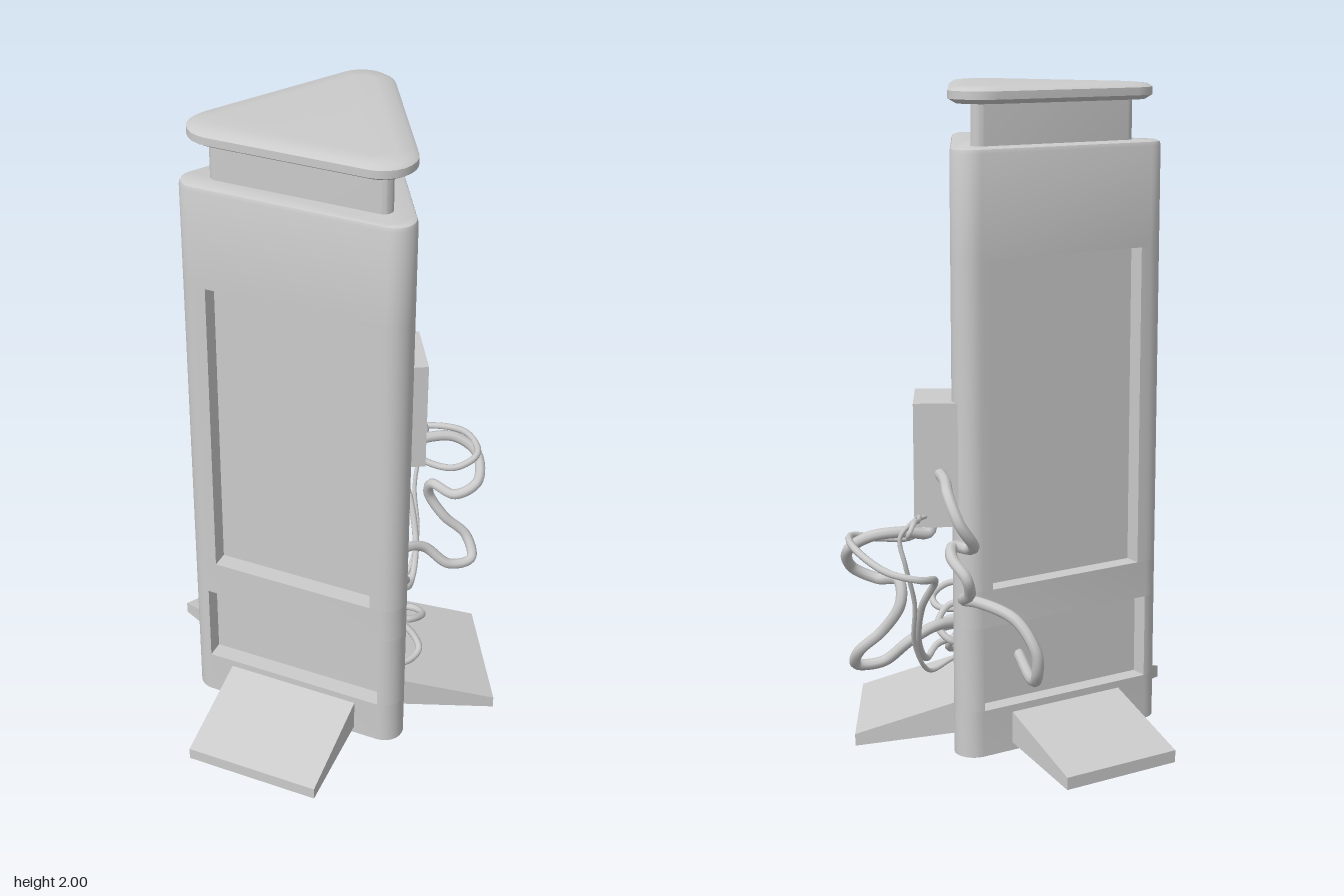
import * as THREE from 'three';
import { toCreasedNormals } from 'three/addons/utils/BufferGeometryUtils.js';

const grey = new THREE.MeshStandardMaterial({ color: 0xcccccc, side: THREE.DoubleSide });
const CX = 0.034, CZ = 0.037;          // axis of the triangular column
const APOTHEM = 0.229, FLOOR = 0.175;  // outer face and recess floor distances
const RADIUS = 0.06;

function part(parent, name, geometry) {
  const mesh = new THREE.Mesh(geometry, grey);
  mesh.name = name;
  parent.add(mesh);
  return mesh;
}

// Rounded triangle outline; an optional notch half-width cuts a recess in every side
function outline(apothem, radius, notch = 0) {
  const pts = [], seg = 8;
  for (let k = 0; k < 3; k++) {
    const mid = k * Math.PI * 2 / 3, d = 2 * (apothem - radius);
    for (let i = 0; i <= seg; i++) {
      const a = mid - Math.PI / 3 + (i / seg) * Math.PI * 2 / 3;
      pts.push(new THREE.Vector2(
        d * Math.cos(mid) + radius * Math.cos(a),
        d * Math.sin(mid) + radius * Math.sin(a)));
    }
    if (notch) {
      const f = mid + Math.PI / 3, c = Math.cos(f), s = Math.sin(f);
      for (const [n, u] of [[apothem, -notch], [FLOOR, -notch], [FLOOR, notch], [apothem, notch]])
        pts.push(new THREE.Vector2(n * c - u * s, n * s + u * c));
    }
  }
  return pts;
}

// Vertical extrusion of an outline between two heights
function prism(pts, y0, y1) {
  const g = new THREE.ExtrudeGeometry(new THREE.Shape(pts), { depth: y1 - y0, bevelEnabled: false });
  g.rotateX(-Math.PI / 2).translate(0, y0, 0);
  return toCreasedNormals(g, 0.5);
}

// Stack of rounded triangles [y, apothem, radius], capped at both ends
function loft(sections) {
  const pos = [], index = [];
  let n = 0;
  for (const [y, a, r] of sections) {
    const ring = outline(a, r);
    n = ring.length;
    for (const p of ring) pos.push(p.x, y, -p.y);
  }
  const last = (sections.length - 1) * n;
  for (let s = 0; s < sections.length - 1; s++)
    for (let i = 0; i < n; i++) {
      const a = s * n + i, b = s * n + (i + 1) % n;
      index.push(a, b, b + n, a, b + n, a + n);
    }
  for (let i = 1; i < n - 1; i++) {
    index.push(0, i + 1, i);
    index.push(last, last + i, last + i + 1);
  }
  const g = new THREE.BufferGeometry();
  g.setAttribute('position', new THREE.Float32BufferAttribute(pos, 3));
  g.setIndex(index);
  return toCreasedNormals(g, 0.5);
}

function cable(parent, name, radius, points) {
  const curve = new THREE.CatmullRomCurve3(points.map(p => new THREE.Vector3(...p)));
  part(parent, name, new THREE.TubeGeometry(curve, points.length * 9, radius, 8));
}

export function createModel() {
  const model = new THREE.Group();
  model.name = 'triangularKiosk';
  const column = new THREE.Group();
  column.name = 'column';
  column.position.set(CX, 0, CZ);
  model.add(column);

  // Column body: solid bands alternating with recessed bands
  const solid = outline(APOTHEM, RADIUS);
  part(column, 'bodyBase', prism(solid, 0.015, 0.16));
  part(column, 'lowerRecesses', prism(outline(APOTHEM, RADIUS, 0.29), 0.16, 0.42));
  part(column, 'bodyMiddle', prism(solid, 0.42, 0.535));
  part(column, 'upperRecesses', prism(outline(APOTHEM, RADIUS, 0.26), 0.535, 1.515));
  part(column, 'bodyTop', loft([
    [1.515, APOTHEM, RADIUS], [1.815, APOTHEM, RADIUS],
    [1.826, APOTHEM - 0.004, RADIUS - 0.004], [1.83, APOTHEM - 0.014, RADIUS - 0.014]]));

  // Neck and lid
  part(column, 'neck', loft([[1.825, 0.169, 0.027], [1.955, 0.169, 0.027]]));
  part(column, 'lid', loft([
    [1.95, 0.212, 0.075], [1.963, 0.234, 0.097], [1.986, 0.234, 0.097],
    [1.996, 0.218, 0.081], [2.0, 0.175, 0.045]]));

  // Sloping feet, one under each face
  const profile = new THREE.Shape([
    [0.2, 0.043], [0.534, 0], [0.534, 0.038], [0.2, 0.147]].map(p => new THREE.Vector2(...p)));
  [60, 180, 300].forEach(deg => {
    const width = deg === 180 ? 0.386 : 0.428;
    const g = new THREE.ExtrudeGeometry(profile, { depth: width, bevelEnabled: false });
    g.translate(0, 0, -width / 2);
    part(column, 'foot', g).rotation.y = THREE.MathUtils.degToRad(deg);
  });

  // Back face: local x points outward, local z runs along the face
  const back = new THREE.Group();
  back.name = 'backFace';
  back.rotation.y = Math.PI / 3;
  column.add(back);
  const box = new THREE.BoxGeometry(0.14, 0.37, 0.215);
  part(back, 'junctionBox', box).position.set(0.27, 0.915, -0.228);

  // Short wires hanging in the lower back recess
  const wires = [
    [[0.17, 0.39, 0.2], [0.25, 0.385, 0.21], [0.3, 0.36, 0.16], [0.28, 0.34, 0.1], [0.17, 0.34, 0.08]],
    [[0.17, 0.25, 0.22], [0.24, 0.23, 0.23], [0.29, 0.24, 0.18], [0.25, 0.29, 0.13], [0.17, 0.3, 0.14]],
    [[0.17, 0.21, 0.12], [0.22, 0.2, 0.1], [0.25, 0.23, 0.04], [0.22, 0.28, 0.02], [0.17, 0.3, 0.05]],
    [[0.17, 0.4, 0.0], [0.25, 0.38, -0.01], [0.28, 0.33, -0.05], [0.24, 0.29, -0.08], [0.17, 0.27, -0.05]],
  ];
  wires.forEach(p => cable(back, 'shortWire', 0.011, p));

  // Thick cable from the junction box round the corner into the side recess
  cable(model, 'sideCable', 0.017, [
    [-0.1, 0.89, -0.35], [-0.2, 0.89, -0.385], [-0.29, 0.87, -0.425], [-0.345, 0.8, -0.42],
    [-0.335, 0.73, -0.37], [-0.27, 0.7, -0.35], [-0.24, 0.705, -0.38], [-0.3, 0.69, -0.42],
    [-0.365, 0.645, -0.41], [-0.34, 0.59, -0.385], [-0.26, 0.545, -0.36], [-0.3, 0.545, -0.335],
    [-0.42, 0.515, -0.28], [-0.48, 0.43, -0.25], [-0.46, 0.35, -0.235], [-0.36, 0.3, -0.19],
    [-0.14, 0.295, -0.1]]);

  // Looping cables between the junction box and the lower back recess
  cable(model, 'backCable', 0.017, [
    [-0.05, 0.76, -0.35], [-0.06, 0.7, -0.36], [-0.05, 0.71, -0.44], [-0.01, 0.7, -0.53],
    [0.05, 0.65, -0.575], [0.1, 0.58, -0.54], [0.07, 0.54, -0.47], [-0.01, 0.55, -0.44],
    [-0.04, 0.49, -0.45], [0.0, 0.4, -0.49], [0.05, 0.33, -0.545], [0.1, 0.27, -0.53],
    [0.08, 0.27, -0.45], [0.03, 0.34, -0.38], [0.03, 0.37, -0.29], [0.06, 0.35, -0.17]]);
  cable(model, 'mediumCable', 0.011, [
    [0.0, 0.76, -0.35], [0.0, 0.68, -0.38], [0.08, 0.66, -0.45], [0.09, 0.68, -0.54],
    [-0.03, 0.68, -0.595], [-0.18, 0.64, -0.565], [-0.24, 0.62, -0.49], [-0.18, 0.59, -0.41],
    [-0.08, 0.48, -0.4], [0.0, 0.34, -0.37], [0.06, 0.26, -0.31], [0.11, 0.28, -0.24],
    [0.09, 0.3, -0.15]]);
  cable(model, 'thinWire', 0.007, [
    [-0.08, 0.76, -0.36], [-0.13, 0.765, -0.44], [-0.26, 0.78, -0.53], [-0.38, 0.805, -0.6],
    [-0.37, 0.83, -0.58], [-0.25, 0.8, -0.5], [-0.13, 0.77, -0.44], [-0.1, 0.71, -0.48],
    [-0.11, 0.63, -0.47], [-0.09, 0.5, -0.43], [-0.03, 0.35, -0.4], [0.01, 0.24, -0.33],
    [0.05, 0.24, -0.24], [0.06, 0.27, -0.16]]);

  return model;
}
